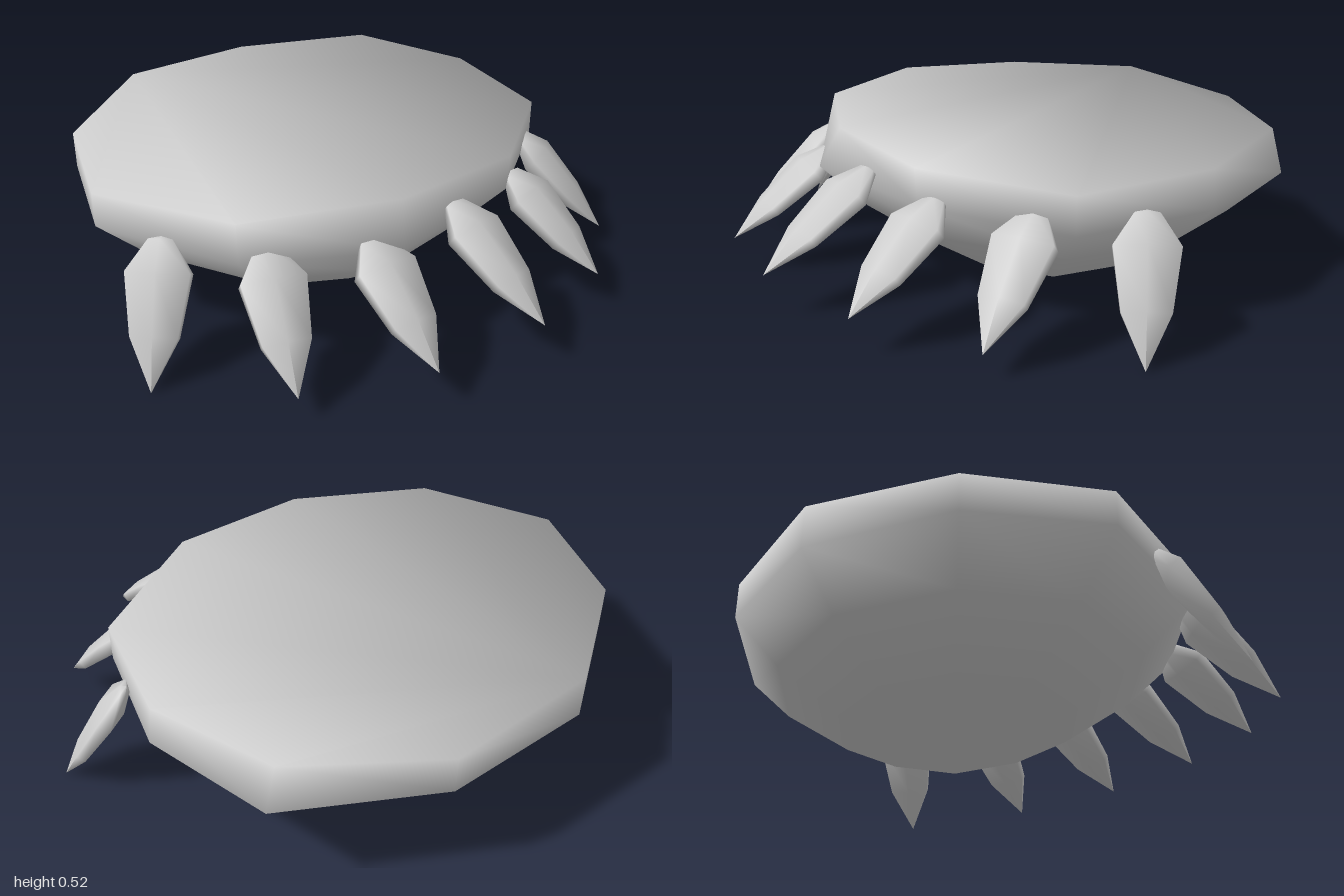
import * as THREE from 'three';

const CENTRE_Z = -0.2;

// Slightly uneven ten-sided rim, and the ring just below it (x, y, z), clockwise from above
const RIM = [
  [-0.27, 0.52, -0.93], [0.27, 0.5, -0.93], [0.71, 0.52, -0.65], [0.85, 0.5, -0.2], [0.74, 0.48, 0.26],
  [0.28, 0.5, 0.53], [-0.22, 0.51, 0.51], [-0.69, 0.5, 0.27], [-0.9, 0.5, -0.2], [-0.71, 0.5, -0.64],
];
const SHOULDER = [
  [-0.27, 0.37, -0.93], [0.27, 0.37, -0.93], [0.755, 0.37, -0.66], [0.865, 0.37, -0.2], [0.74, 0.35, 0.26],
  [0.28, 0.37, 0.52], [-0.27, 0.37, 0.57], [-0.7, 0.37, 0.29], [-0.9, 0.38, -0.2], [-0.71, 0.37, -0.64],
];

// Closed body: stacked rings with flat lid and base, softly shaded over every edge
function bodyGeometry() {
  const shrink = (k, y) => SHOULDER.map(([x, , z]) => [x * k, y, CENTRE_Z + (z - CENTRE_Z) * k]);
  const rings = [RIM, SHOULDER, shrink(0.8, 0.205), shrink(0.49, 0.025)];
  const lift = [0.85, -0.25, -1.05, -1.8]; // vertical lean of the normals, ring by ring
  const n = RIM.length;
  const positions = [], normals = [], index = [];
  rings.forEach((ring, k) => ring.forEach(([x, y, z]) => {
    const r = Math.hypot(x, z - CENTRE_Z);
    const normal = new THREE.Vector3(x / r, lift[k], (z - CENTRE_Z) / r).normalize();
    positions.push(x, y, z);
    normals.push(normal.x, normal.y, normal.z);
  }));
  for (let k = 0; k < rings.length - 1; k++) {
    for (let i = 0; i < n; i++) {
      const a = k * n + i, b = k * n + (i + 1) % n, c = a + n, d = b + n;
      index.push(b, d, c, b, c, a);
    }
  }
  const base = (rings.length - 1) * n;
  for (let i = 1; i < n - 1; i++) {
    index.push(0, i + 1, i); // lid
    index.push(base, base + i, base + i + 1); // underside
  }
  const geometry = new THREE.BufferGeometry();
  geometry.setAttribute('position', new THREE.Float32BufferAttribute(positions, 3));
  geometry.setAttribute('normal', new THREE.Float32BufferAttribute(normals, 3));
  geometry.setIndex(index);
  return geometry;
}

// Flattened six-sided claw running from root to tip, its broad face turned up
function clawGeometry(root, tip) {
  const start = new THREE.Vector3(...root);
  const axis = new THREE.Vector3(...tip).sub(start);
  const length = axis.length();
  axis.normalize();
  const profile = [[0, -0.02], [0.045, 0], [0.12, 0.22], [0.088, 0.64], [0, 1]]
    .map(([r, t]) => new THREE.Vector2(r, t * length));
  const side = new THREE.Vector3(0, 1, 0).cross(axis).normalize();
  const face = side.clone().cross(axis);
  const geometry = new THREE.LatheGeometry(profile, 6);
  geometry.scale(1, 1, 0.38);
  geometry.applyMatrix4(new THREE.Matrix4().makeBasis(side, axis, face).setPosition(start));
  return geometry;
}

export function createModel() {
  const model = new THREE.Group();
  model.name = 'clawedPad';
  const grey = new THREE.MeshStandardMaterial({ color: 0xcccccc });
  grey.name = 'lightGrey';

  const add = (name, geometry) => {
    const mesh = new THREE.Mesh(geometry, grey);
    mesh.name = name;
    model.add(mesh);
  };

  add('body', bodyGeometry());

  // Seven claws fanned around the front
  add('middleClaw', clawGeometry([0, 0.42, 0.53], [0, 0.145, 0.93]));
  const claws = [
    ['innerClaw', [0.34, 0.4, 0.49], [0.4, 0.125, 0.85]],
    ['outerClaw', [0.61, 0.4, 0.31], [0.75, 0.08, 0.615]],
    ['sideClaw', [0.81, 0.4, 0.04], [1, 0, 0.21]],
  ];
  for (const [name, root, tip] of claws) {
    for (const s of [1, -1]) {
      const mirror = ([x, y, z]) => [s * x, y, z];
      add(name + (s > 0 ? 'Left' : 'Right'), clawGeometry(mirror(root), mirror(tip)));
    }
  }
  return model;
}
